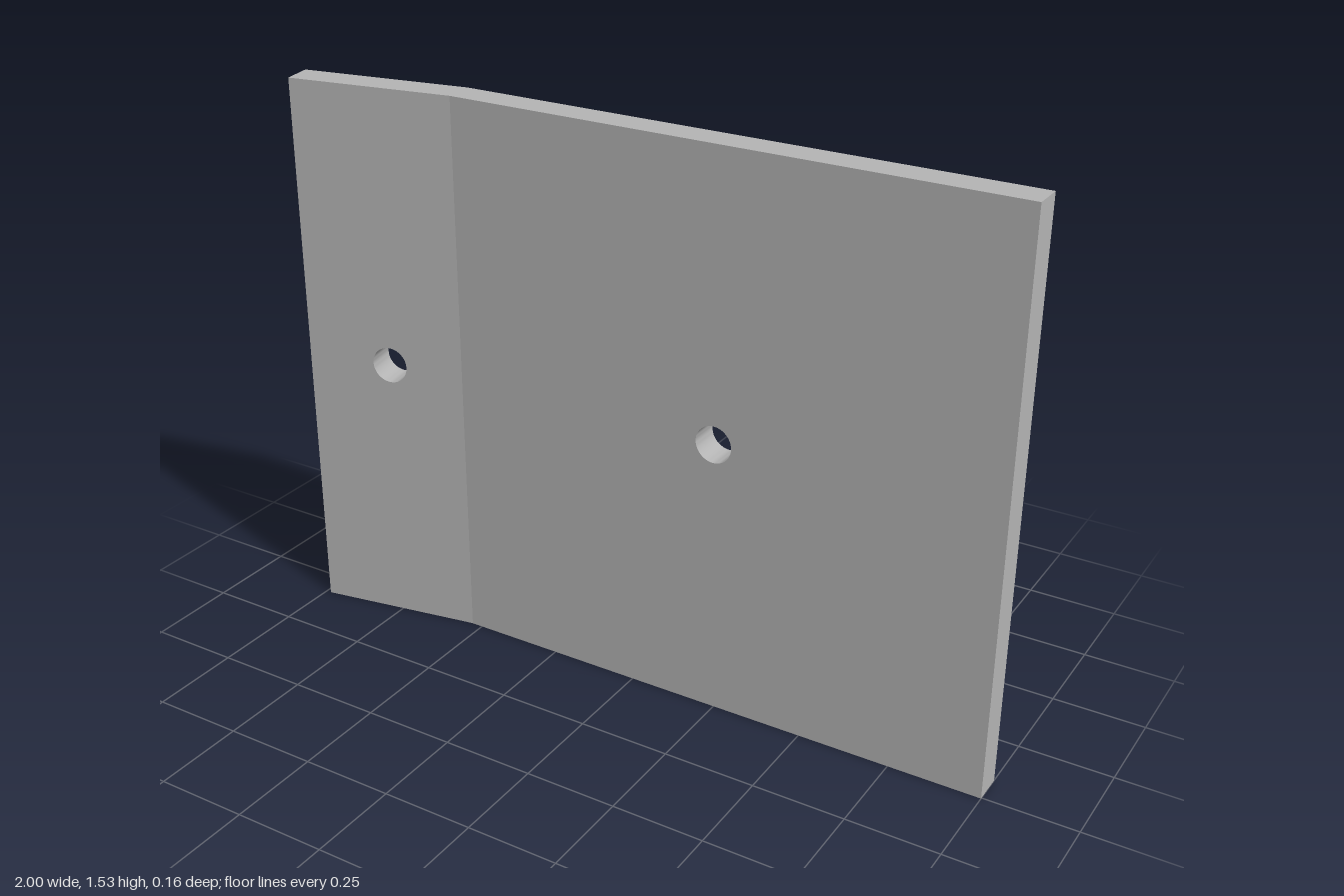
import * as THREE from 'three';
import { toCreasedNormals } from 'three/addons/utils/BufferGeometryUtils.js';

const HEIGHT = 1.53, THICK = 0.085, BEND = THREE.MathUtils.degToRad(10);
const SEAM_X = -0.532, FRONT_Z = 0.0027, HOLE_R = 0.05;

// Flat panel with one round hole; its front seam edge lies at x = 0, z = 0
function panelGeometry(x0, x1, holeX, mitre) {
  const shape = new THREE.Shape();
  shape.moveTo(x0, 0).lineTo(x1, 0).lineTo(x1, HEIGHT).lineTo(x0, HEIGHT).closePath();
  const hole = new THREE.Path();
  hole.absarc(holeX, HEIGHT / 2, HOLE_R, 0, Math.PI * 2, true);
  shape.holes.push(hole);
  const geo = new THREE.ExtrudeGeometry(shape, { depth: THICK, bevelEnabled: false, curveSegments: 24 });
  geo.translate(0, 0, -THICK);

  // Mitre the seam and leave out the hidden face between the panels
  const p = geo.attributes.position, kept = [];
  for (let i = 0; i < p.count; i += 3) {
    const ids = [i, i + 1, i + 2];
    if (ids.every(j => Math.abs(p.getX(j)) < 1e-5)) continue;
    for (const j of ids) {
      const atBackSeam = Math.abs(p.getX(j)) < 1e-5 && p.getZ(j) < -THICK / 2;
      kept.push(p.getX(j) + (atBackSeam ? mitre : 0), p.getY(j), p.getZ(j));
    }
  }
  const out = new THREE.BufferGeometry();
  out.setAttribute('position', new THREE.Float32BufferAttribute(kept, 3));
  return toCreasedNormals(out, 0.5);
}

export function createModel() {
  const model = new THREE.Group();
  model.name = 'bentPlate';
  const steel = new THREE.MeshStandardMaterial({ color: 0xb4b4b4 });
  steel.name = 'grey steel';
  const mitre = THICK * Math.tan(BEND / 2);

  // Wide straight part of the plate
  const main = new THREE.Mesh(panelGeometry(0, 1 - SEAM_X, 0.233 - SEAM_X, -mitre), steel);
  main.name = 'mainPanel';

  // Narrow part bent forward, with its hole square to its face
  const flange = new THREE.Mesh(panelGeometry(-0.46, 0, -0.216, mitre), steel);
  flange.name = 'bentFlange';
  flange.rotation.y = BEND;

  for (const part of [main, flange]) {
    part.position.set(SEAM_X, 0, FRONT_Z);
    model.add(part);
  }
  return model;
}
